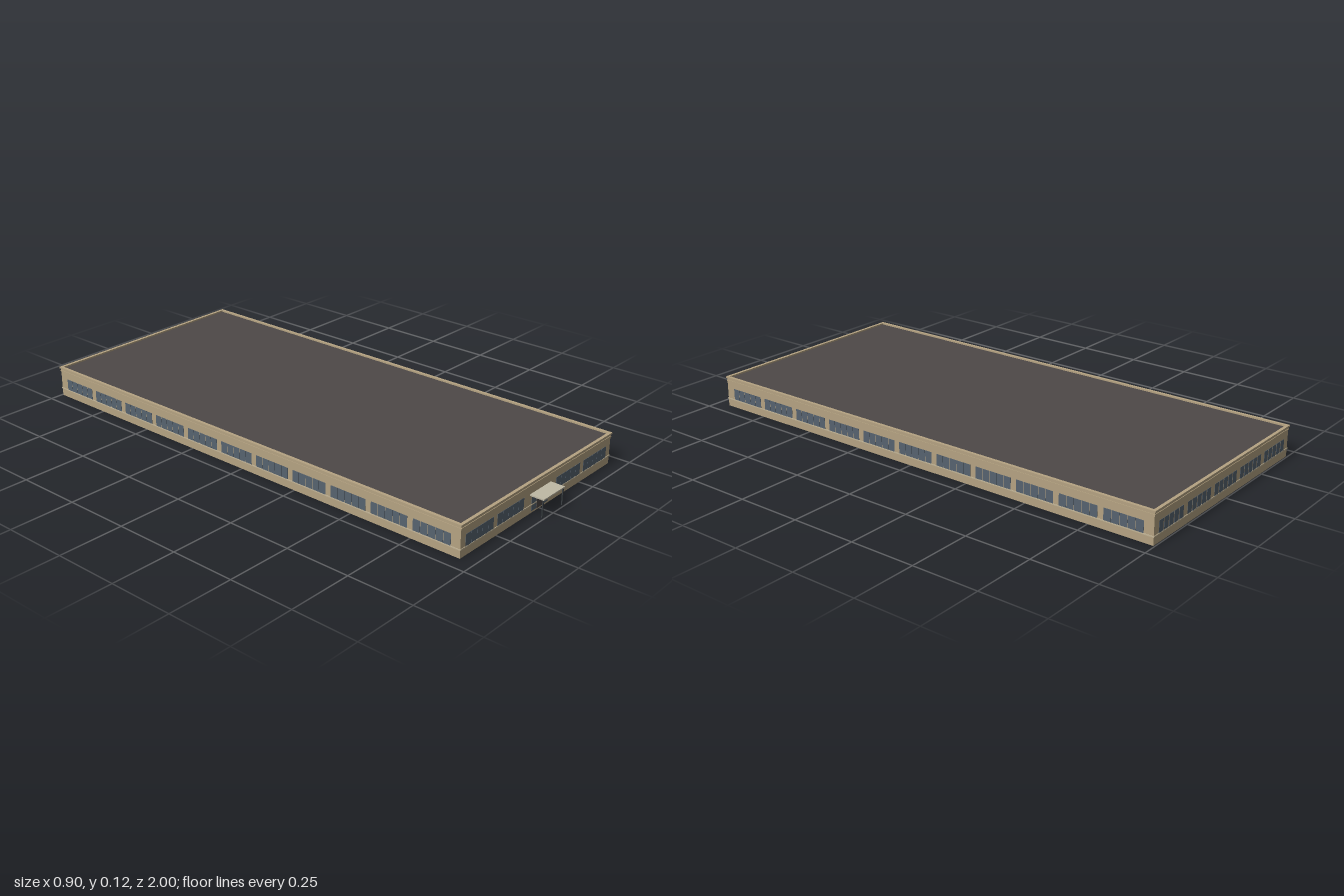
import * as THREE from 'three';

const mat = (name, color) => new THREE.MeshStandardMaterial({ name, color });

export function createModel() {
  const wall = mat('tan wall', 0xb5a382);
  const trim = mat('pale trim', 0xc3b597);
  const roofMat = mat('dark roof', 0x4e4947);
  const glass = mat('blue grey glass', 0x57636f);
  const canopyMat = mat('canopy stone', 0xbfb9a5);
  const metal = mat('dark metal', 0x3a3f42);

  const model = new THREE.Group();
  model.name = 'building';

  // Box given by its extents on each axis
  function box(parent, name, material, x0, x1, y0, y1, z0, z1) {
    const mesh = new THREE.Mesh(new THREE.BoxGeometry(x1 - x0, y1 - y0, z1 - z0), material);
    mesh.position.set((x0 + x1) / 2, (y0 + y1) / 2, (z0 + z1) / 2);
    mesh.name = name;
    parent.add(mesh);
    return mesh;
  }

  const W = 0.445, L = 0.97, CZ = -0.025; // half width, half length, centre z

  // Rectangular ring around the building, reaching `out` past and `inn` behind the wall face
  function ring(name, material, y0, y1, out, inn) {
    const rect = (C, w, l) => {
      const s = new C();
      s.moveTo(-w, -l).lineTo(w, -l).lineTo(w, l).lineTo(-w, l).closePath();
      return s;
    };
    const shape = new THREE.Shape();
    shape.moveTo(-W - out, -L - out);
    shape.lineTo(W + out, -L - out);
    shape.lineTo(W + out, L + out);
    shape.lineTo(-W - out, L + out);
    shape.closePath();
    const hole = new THREE.Path();
    hole.moveTo(-W + inn, -L + inn);
    hole.lineTo(-W + inn, L - inn);
    hole.lineTo(W - inn, L - inn);
    hole.lineTo(W - inn, -L + inn);
    hole.closePath();
    shape.holes.push(hole);
    const geo = new THREE.ExtrudeGeometry(shape, { depth: y1 - y0, bevelEnabled: false });
    geo.rotateX(-Math.PI / 2);
    const mesh = new THREE.Mesh(geo, material);
    mesh.position.set(0, y0, CZ);
    mesh.name = name;
    model.add(mesh);
  }

  // Hollow shell, open underneath, with stepped cornice and sill band
  ring('walls', wall, 0, 0.118, 0, 0.006);
  ring('sillBand', trim, 0.029, 0.033, 0.002, 0);
  ring('lowerCornice', wall, 0.102, 0.107, 0.002, 0);
  ring('upperCornice', wall, 0.114, 0.12, 0.004, 0.008);
  box(model, 'roof', roofMat, -W + 0.004, W - 0.004, 0.104, 0.114, CZ - L + 0.004, CZ + L - 0.004);

  // Rows of windows, each of five panes, on a facade facing +z before turning
  const PITCH = 0.1718, PANE = 0.0302;
  function facade(name, count, gap, angle, x, z, skip = -1) {
    const side = new THREE.Group();
    side.name = name;
    for (let i = 0; i < count; i++) {
      if (i === skip) continue;
      const c = (i - (count - 1) / 2) * PITCH;
      for (let p = -2; p <= 2; p++) {
        const m = c + p * PANE, h = (PANE - gap) / 2;
        box(side, 'windowPane', glass, m - h, m + h, 0.033, 0.076, -0.001, 0.001);
      }
    }
    side.rotation.y = angle;
    side.position.set(x, 0, z);
    model.add(side);
  }
  facade('frontWindows', 5, 0.001, 0, 0, CZ + L, 2);
  facade('backWindows', 5, 0.005, Math.PI, 0, CZ - L);
  facade('rightWindows', 11, 0.002, -Math.PI / 2, -W, CZ);
  facade('leftWindows', 11, 0.002, Math.PI / 2, W, CZ);

  // Glazed entrance with a dark door
  const front = CZ + L;
  const entrance = new THREE.Group();
  entrance.name = 'entrance';
  box(entrance, 'lowerGlazing', glass, -0.049, 0.049, 0.007, 0.029, front, front + 0.001);
  box(entrance, 'upperGlazing', glass, -0.049, 0.049, 0.033, 0.063, front, front + 0.001);
  box(entrance, 'door', roofMat, -0.02, 0.019, 0.007, 0.058, front, front + 0.003);
  model.add(entrance);

  // Canopy on two posts
  const canopy = new THREE.Group();
  canopy.name = 'canopy';
  box(canopy, 'canopySlab', canopyMat, -0.063, 0.063, 0.069, 0.074, front, 1);
  for (const s of [-1, 1]) {
    const x = s * 0.06;
    box(canopy, 'canopyPost', metal, x - 0.002, x + 0.002, 0.005, 0.069, 0.993, 0.997);
  }
  model.add(canopy);

  return model;
}
